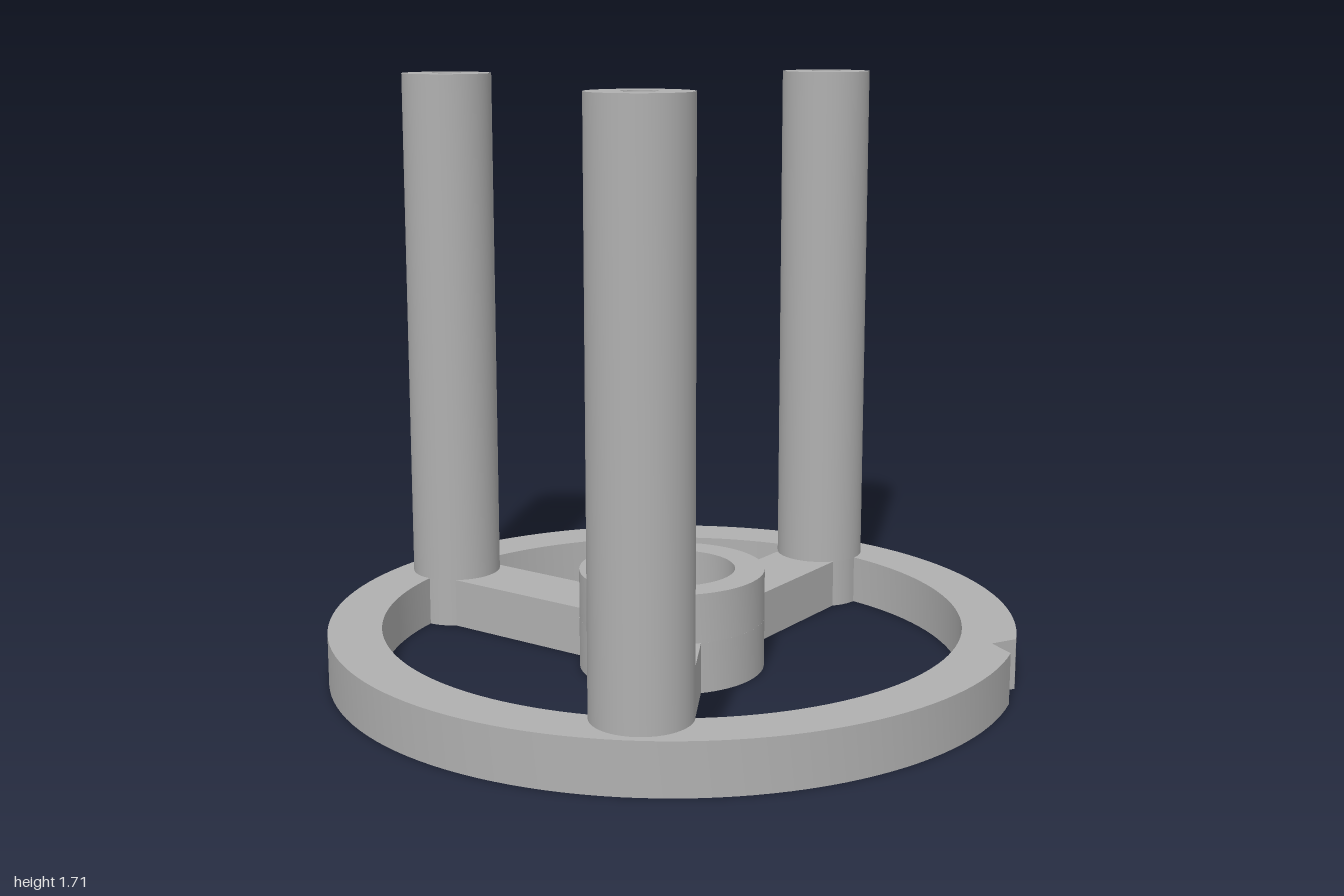
import * as THREE from 'three';
import { toCreasedNormals } from 'three/addons/utils/BufferGeometryUtils.js';

const BASE_H = 0.148, HUB_TOP = 0.292, POST_TOP = 1.71;
const RIM_IN = 0.845, HUB_R = 0.272, BORE_R = 0.185;
const POST_R = 0.136, POST_DIST = 0.84, HOLE_R = 0.045, SPOKE_HALF = 0.105;
const SPOKES = [75, 165, 285].map(THREE.MathUtils.degToRad);

const arc = (r, from, to, n) => Array.from({ length: n + 1 }, (_, i) => {
  const a = from + (to - from) * i / n;
  return new THREE.Vector2(r * Math.cos(a), r * Math.sin(a));
});

// Curved edge where a post meets an opening, on one side (+1 or -1) of its spoke
function postEdge(angle, side) {
  const t0 = Math.asin(SPOKE_HALF / POST_R);
  const t1 = Math.acos((POST_DIST ** 2 + POST_R ** 2 - RIM_IN ** 2) / (2 * POST_DIST * POST_R));
  return Array.from({ length: 9 }, (_, i) => {
    const t = t0 + (t1 - t0) * i / 8;
    return new THREE.Vector2(POST_DIST - POST_R * Math.cos(t), side * POST_R * Math.sin(t))
      .rotateAround(new THREE.Vector2(), angle);
  });
}

// Opening between two neighbouring spokes
function opening(a, b) {
  const start = postEdge(a, 1), end = postEdge(b, -1);
  const hubOff = Math.asin(SPOKE_HALF / HUB_R);
  const rimFrom = start.at(-1).angle();
  let rimTo = end.at(-1).angle();
  if (rimTo < rimFrom) rimTo += Math.PI * 2;
  return new THREE.Path([
    ...start,
    ...arc(RIM_IN, rimFrom, rimTo, 48).slice(1, -1),
    ...end.reverse(),
    ...arc(HUB_R, b - hubOff, a + hubOff, 24),
  ]);
}

export function createModel() {
  const model = new THREE.Group();
  model.name = 'threePostWheel';
  const grey = new THREE.MeshStandardMaterial({ color: 0xb0b0b0 });
  grey.name = 'grey';

  const add = (name, geometry, x = 0, z = 0) => {
    const mesh = new THREE.Mesh(toCreasedNormals(geometry, 0.5), grey);
    mesh.name = name;
    mesh.position.set(x, 0, z);
    model.add(mesh);
  };
  const lathe = (pts, n) => new THREE.LatheGeometry(pts.map(p => new THREE.Vector2(...p)), n);

  // Spoked wheel with a V notch in the rim
  const wheel = new THREE.Shape([
    ...arc(1, 0.127, Math.PI * 2, 128),
    new THREE.Vector2(0.935, 0.065),
  ]);
  wheel.holes.push(new THREE.Path(arc(BORE_R, 0, Math.PI * 2, 64).slice(0, -1)));
  SPOKES.forEach((a, i) => {
    const next = SPOKES[(i + 1) % 3];
    wheel.holes.push(opening(a, next < a ? next + Math.PI * 2 : next));
  });
  add('spokedWheel', new THREE.ExtrudeGeometry(wheel, { depth: BASE_H, bevelEnabled: false })
    .rotateX(-Math.PI / 2));

  // Raised hub collar around the bore
  add('hubCollar', lathe([[HUB_R, BASE_H], [HUB_R, HUB_TOP], [BORE_R, HUB_TOP], [BORE_R, BASE_H]], 64));

  // Posts with a blind hole in the top
  SPOKES.forEach((a, i) => add(`post${i + 1}`,
    lathe([[POST_R, BASE_H], [POST_R, POST_TOP], [HOLE_R, POST_TOP], [HOLE_R, 1.2], [0, 1.2]], 48),
    POST_DIST * Math.cos(a), -POST_DIST * Math.sin(a)));

  return model;
}
